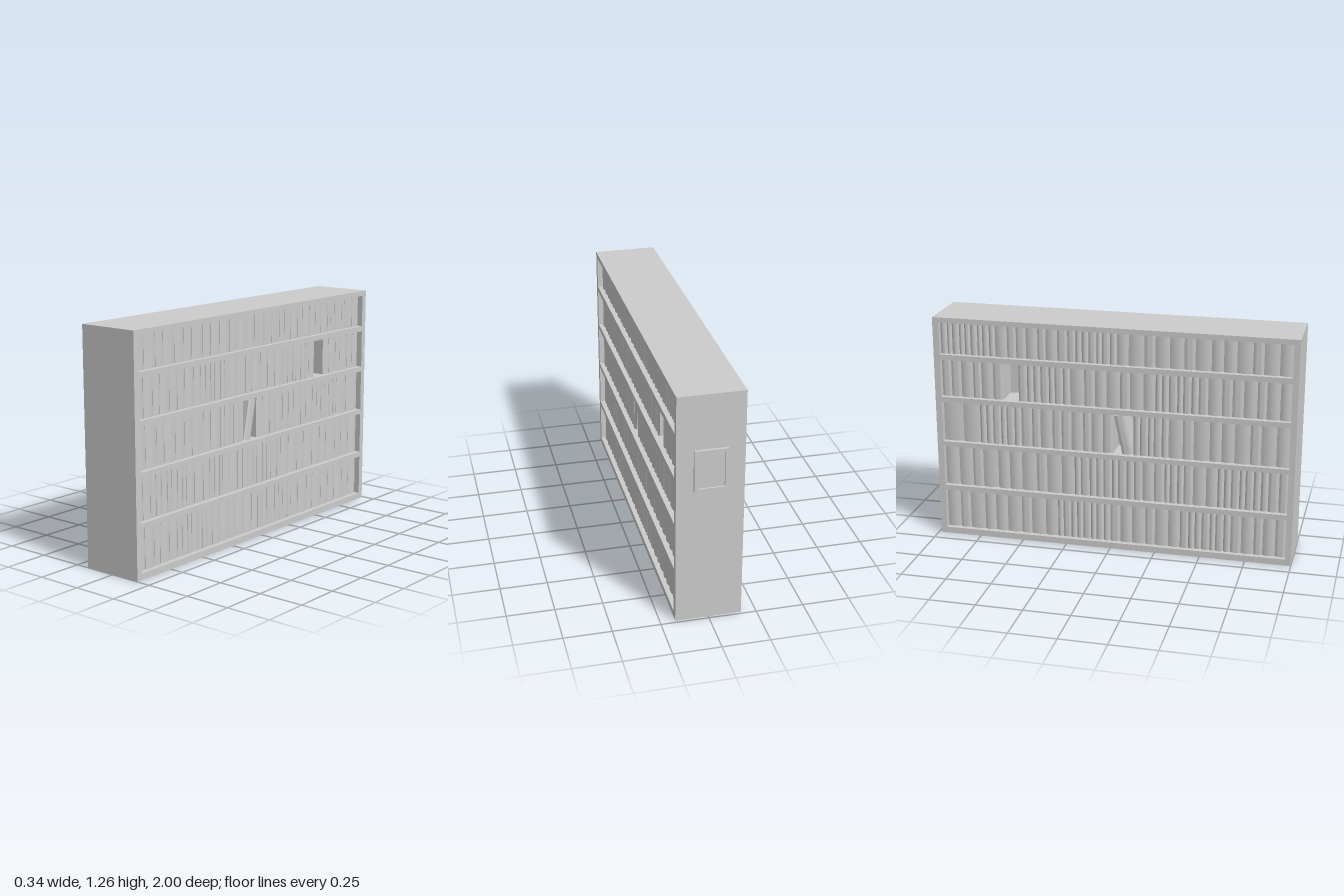
import * as THREE from 'three';
import { toCreasedNormals } from 'three/addons/utils/BufferGeometryUtils.js';

const HALF_W = 0.1725, HEIGHT = 1.26, FRONT = 1, BACK = -0.985;
const Z0 = 0.967, Z1 = -0.951;      // ends of every shelf opening
const SPINE = 0.148, BULGE = 0.008; // spine distance from the middle, and its roundness

const grey = new THREE.MeshStandardMaterial({ color: 0xcccccc });

function addMesh(parent, name, geometry) {
  const mesh = new THREE.Mesh(geometry, grey);
  mesh.name = name;
  parent.add(mesh);
  return mesh;
}

// Rectangle with corners (x0, y0) and (x1, y1)
function rect(x0, y0, x1, y1, Type = THREE.Shape) {
  const r = new Type();
  r.moveTo(x0, y0);
  r.lineTo(x1, y0);
  r.lineTo(x1, y1);
  r.lineTo(x0, y1);
  r.closePath();
  return r;
}

// Upright book with a rounded spine towards +x
function bookGeometry(thickness, height) {
  const t = thickness / 2 - 0.0008;
  const s = new THREE.Shape();
  s.moveTo(0.008, -t);
  s.lineTo(SPINE - BULGE, -t);
  s.quadraticCurveTo(SPINE + BULGE, 0, SPINE - BULGE, t);
  s.lineTo(0.008, t);
  s.closePath();
  const g = new THREE.ExtrudeGeometry(s, { depth: height, bevelEnabled: false, curveSegments: 6 });
  return toCreasedNormals(g.rotateX(-Math.PI / 2), 0.5);
}

// Runs of similar books from front to back: how many, and their relative width
const shelves = [
  { y0: 0.035, y1: 0.262, runs: [[5, 11.2], [7, 7.3], [6, 12.3], [8, 7], [9, 13.4]] },
  { y0: 0.292, y1: 0.525, runs: [[3, 9.3], [6, 7.3], [3, 11.7], [3, 6.7], [3, 10.7], [8, 7.8], [10, 13.7]] },
  { y0: 0.552, y1: 0.782, runs: [[9, 13.6], [5, 7.2], [1, 21, 'lean'], [9, 10.8], [6, 7.5], [2, 18.5]] },
  { y0: 0.811, y1: 1.023, runs: [[8, 11.6], [6, 7.3], [7, 12.3], [7, 7.6], [1, 16, 'gap'], [6, 11]] },
  { y0: 1.053, y1: 1.232, runs: [[13, 13.5], [7, 7.1], [7, 10.6], [9, 6.4]] },
];

// Spread the runs into single slots, varying the width of neighbouring books a little
function slotsOf(runs) {
  return runs.flatMap(([count, width, kind = 'book']) => Array.from({ length: count }, (_, i) => (
    { kind, width: width * (1 + 0.2 * Math.sin(2.4 * i)) })));
}

// One row of books facing +x (side 1) or -x (side -1)
function addBooks(parent, { y0, y1, runs }, side) {
  const slots = slotsOf(runs);
  const unit = (Z0 - Z1) / slots.reduce((sum, slot) => sum + slot.width, 0);
  const height = y1 - y0;
  let z = Z0;
  for (const { kind, width } of slots) {
    const w = width * unit;
    z -= w;
    if (kind === 'gap') continue;
    const leans = kind === 'lean';
    const thickness = leans ? w * 0.55 : w;
    const tilt = leans ? Math.asin((w - thickness) * 0.95 / height) : 0;
    const holder = new THREE.Group();
    holder.name = leans ? 'leaningBook' : 'book';
    const mesh = addMesh(holder, 'bookBody', bookGeometry(thickness, height * Math.cos(tilt) - 0.001));
    mesh.rotation.y = side > 0 ? 0 : Math.PI;
    holder.rotation.x = -tilt;
    holder.position.set(0, y0, z + w - thickness / 2);
    parent.add(holder);
  }
}

export function createModel() {
  const model = new THREE.Group();
  model.name = 'doubleSidedBookcase';

  // Case with five openings cut straight through
  const outline = rect(-FRONT, 0, -BACK, HEIGHT);
  for (const { y0, y1 } of shelves) outline.holes.push(rect(-Z0, y0, -Z1, y1, THREE.Path));
  const caseGeometry = new THREE.ExtrudeGeometry(outline, { depth: HALF_W * 2, bevelEnabled: false });
  caseGeometry.translate(0, 0, -HALF_W).rotateY(Math.PI / 2);
  addMesh(model, 'case', caseGeometry);

  // Panel dividing the two sides
  const divider = addMesh(model, 'dividerPanel', new THREE.BoxGeometry(0.014, HEIGHT - 0.04, Z0 - Z1 + 0.01));
  divider.position.set(0, HEIGHT / 2, (Z0 + Z1) / 2);

  // Books on both sides
  for (const side of [1, -1]) {
    const rows = new THREE.Group();
    rows.name = side > 0 ? 'leftBooks' : 'rightBooks';
    for (const shelf of shelves) addBooks(rows, shelf, side);
    model.add(rows);
  }

  // Framed sign holder on the back end
  const sign = new THREE.Group();
  sign.name = 'signHolder';
  const frame = rect(-0.085, -0.112, 0.085, 0.112);
  frame.holes.push(rect(-0.069, -0.096, 0.069, 0.096, THREE.Path));
  addMesh(sign, 'signFrame', new THREE.ExtrudeGeometry(frame, { depth: 0.015, bevelEnabled: false }));
  addMesh(sign, 'signCard', new THREE.BoxGeometry(0.14, 0.194, 0.006)).position.z = 0.012;
  sign.position.set(0, 0.857, -1);
  model.add(sign);

  return model;
}
